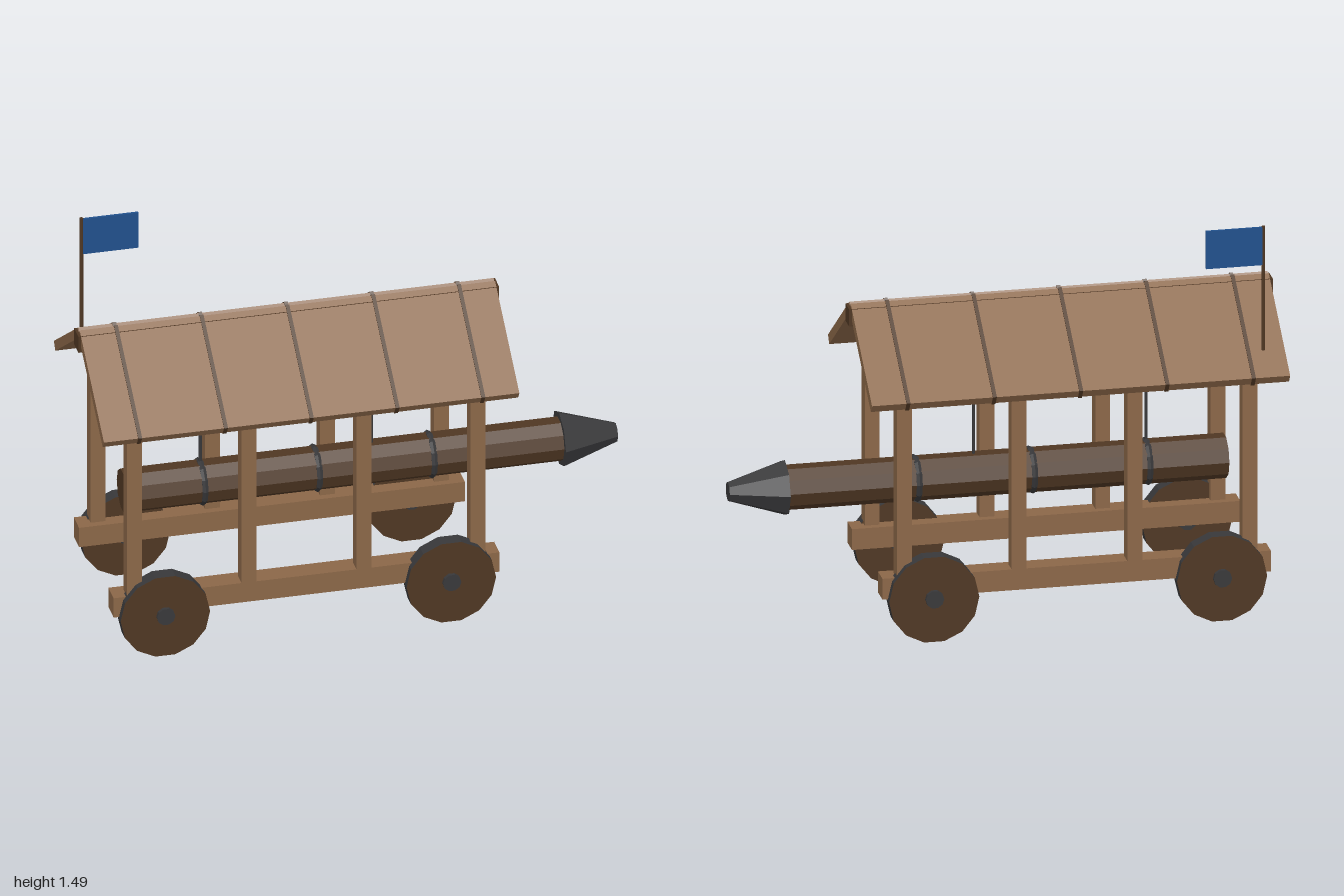
import * as THREE from 'three';

const mat = (name, color) => Object.assign(new THREE.MeshStandardMaterial({ color, flatShading: true }), { name });

export function createModel() {
  const wood = mat('wood', 0x8b6748);
  const darkWood = mat('dark wood', 0x4f3723);
  const iron = mat('iron', 0x38383a);
  const cloth = mat('blue cloth', 0x20508c);

  const model = new THREE.Group();
  model.name = 'coveredBatteringRam';

  const add = (name, geometry, material, x, y, z, parent = model) => {
    const mesh = new THREE.Mesh(geometry, material);
    mesh.name = name;
    mesh.position.set(x, y, z);
    parent.add(mesh);
    return mesh;
  };
  const box = (w, h, d) => new THREE.BoxGeometry(w, h, d);
  // cylinder lying along x; rTip is the radius at the +x end
  const rod = (rTip, rBase, length, sides) =>
    new THREE.CylinderGeometry(rTip, rBase, length, sides).rotateZ(-Math.PI / 2);
  // cylinder lying along z, with a vertex on the x axis
  const disc = (r, width, sides) =>
    new THREE.CylinderGeometry(r, r, width, sides).rotateY(Math.PI / 2).rotateX(Math.PI / 2);

  // The two long sides: rail, posts, wheels and sloping roof
  const pitch = 0.61;
  for (const s of [1, -1]) {
    add('rail', box(1.43, 0.08, 0.08), wood, -0.22, 0.21, s * 0.265);
    for (const x of [-0.858, -0.434, -0.008, 0.415]) {
      add('post', box(0.055, 0.73, 0.055), wood, x, 0.612, s * 0.279);
    }
    for (const x of [-0.75, 0.31]) {
      add('wheel', disc(0.166, 0.055, 14), [iron, darkWood, darkWood], x, 0.166, s * 0.305);
      add('hub', disc(0.034, 0.08, 10), iron, x, 0.17, s * 0.306);
    }

    const roof = new THREE.Group();
    roof.name = 'roofSide';
    roof.position.set(-0.22, 1.06, s * 0.187);
    roof.rotation.x = s * pitch;
    model.add(roof);
    add('roofPanel', box(1.54, 0.036, 0.454), wood, 0, 0, 0, roof);
    for (let i = -2; i <= 2; i++) {
      add('roofBatten', box(0.014, 0.044, 0.459), darkWood, i * 0.318, 0, 0, roof);
    }
  }
  add('ridgeBeam', box(1.56, 0.066, 0.066), darkWood, -0.22, 1.158, 0);

  // Hanging ram with iron head and bands
  const ramY = 0.514;
  add('ramLog', rod(0.082, 0.082, 1.63, 10), darkWood, -0.015, ramY, 0);
  add('ramHead', rod(0.036, 0.105, 0.21, 8), iron, 0.895, ramY, 0);
  for (const x of [-0.54, -0.115, 0.31]) {
    add('ramBand', new THREE.TorusGeometry(0.076, 0.0125, 6, 12).rotateY(Math.PI / 2), iron, x, ramY, 0);
  }
  for (const x of [-0.54, 0.095]) {
    add('rope', new THREE.CylinderGeometry(0.006, 0.006, 0.39, 6), iron, x, 0.773, 0);
  }

  // Flag at the back corner of the roof
  add('flagPole', new THREE.CylinderGeometry(0.007, 0.007, 0.475, 6), darkWood, -0.91, 1.255, -0.292);
  add('flag', box(0.208, 0.145, 0.009), cloth, -0.803, 1.417, -0.292);

  return model;
}
